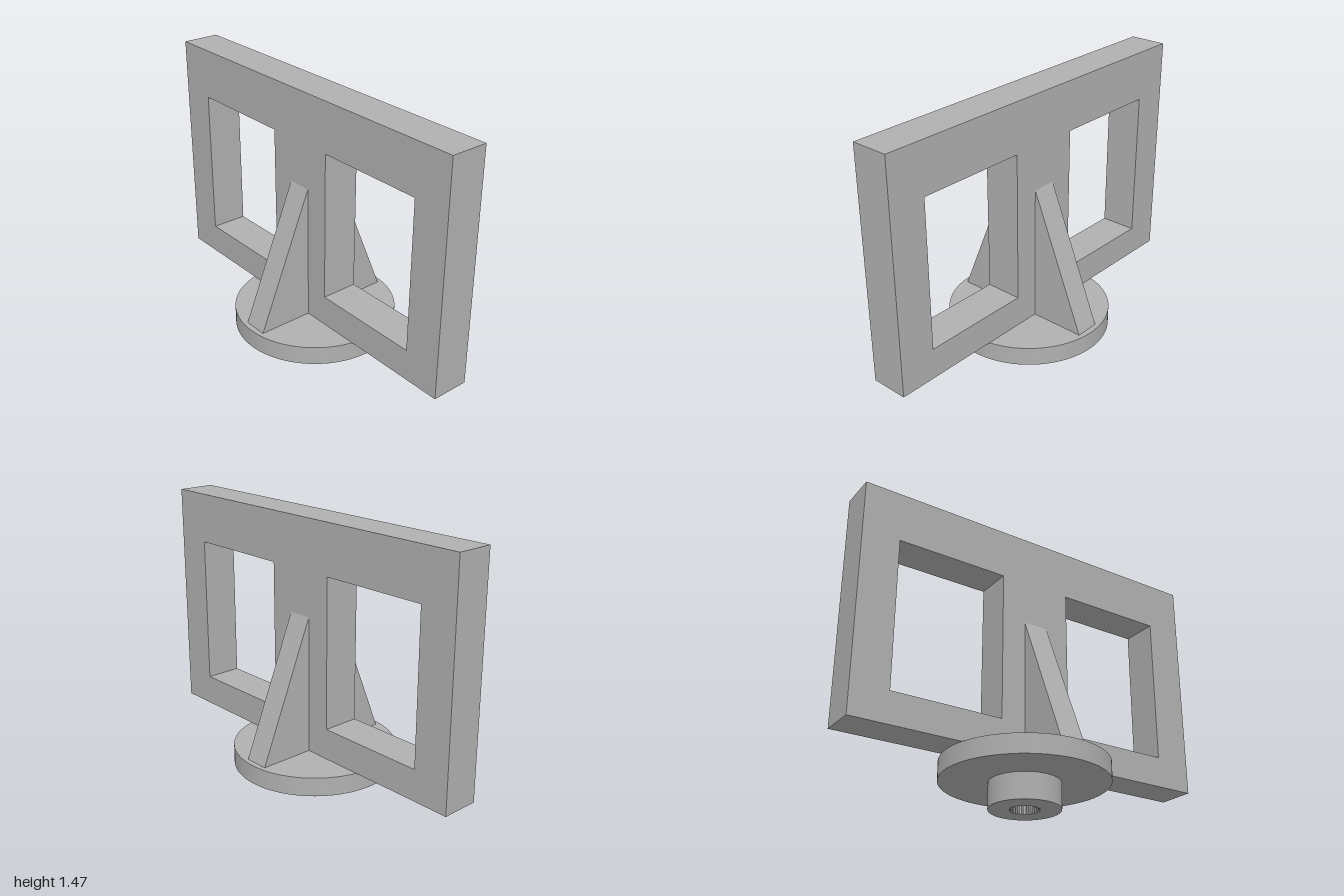
import * as THREE from 'three';

export function createModel() {
  const model = new THREE.Group();
  const grey = new THREE.MeshStandardMaterial({ color: 0xb0b0b0 });
  grey.name = 'plain grey';

  const add = (name, geometry, parent = model) => {
    const mesh = new THREE.Mesh(geometry, grey);
    mesh.name = name;
    parent.add(mesh);
    return mesh;
  };
  const polygon = (points) => points.map(([x, y]) => new THREE.Vector2(x, y));
  const rect = (x0, y0, x1, y1) => polygon([[x0, y0], [x1, y0], [x1, y1], [x0, y1]]);

  const collarTop = 0.135, flangeTop = 0.235, frameTop = 1.467, halfDepth = 0.1;

  // Upright frame with two windows
  const frame = new THREE.Shape(rect(-1, flangeTop, 1, frameTop));
  for (const x of [-0.8, 0.2]) {
    frame.holes.push(new THREE.Path(rect(x, 0.4, x + 0.6, 1.2)));
  }
  add('windowFrame', new THREE.ExtrudeGeometry(frame, { depth: 2 * halfDepth, bevelEnabled: false })
    .translate(0, 0, -halfDepth));

  // Triangular ribs bracing the frame, front and back
  const ribWidth = 0.134;
  const ribShape = new THREE.Shape(polygon([[halfDepth, flangeTop], [0.4, flangeTop], [halfDepth, 0.965]]));
  const ribGeometry = new THREE.ExtrudeGeometry(ribShape, { depth: ribWidth, bevelEnabled: false })
    .translate(0, 0, -ribWidth / 2).rotateY(-Math.PI / 2);
  add('frontRib', ribGeometry);
  add('backRib', ribGeometry).rotation.y = Math.PI;

  // Round flange
  const flangeHeight = flangeTop - collarTop;
  add('flange', new THREE.CylinderGeometry(0.43, 0.43, flangeHeight, 96)
    .translate(0, collarTop + flangeHeight / 2, 0));

  // Collar with a toothed blind bore
  const collar = new THREE.Group();
  collar.name = 'collar';
  model.add(collar);
  add('collarWall', new THREE.CylinderGeometry(0.182, 0.182, collarTop, 96, 1, true)
    .translate(0, collarTop / 2, 0), collar);

  const teeth = 21, bore = [];
  for (let i = 0; i < teeth; i++) {
    for (const [step, radius] of [[0, 0.077], [0.4, 0.077], [0.5, 0.069], [0.9, 0.069]]) {
      const a = (i + step) / teeth * Math.PI * 2;
      bore.push([radius * Math.cos(a), radius * Math.sin(a)]);
    }
  }
  // The bore body stays just inside the smooth outer wall
  const ring = new THREE.Shape().absarc(0, 0, 0.1815, 0, Math.PI * 2);
  ring.holes.push(new THREE.Path(polygon([...bore, bore[0]])));
  add('splinedBore', new THREE.ExtrudeGeometry(ring, { depth: collarTop, bevelEnabled: false, curveSegments: 96 })
    .rotateX(-Math.PI / 2), collar);

  return model;
}
